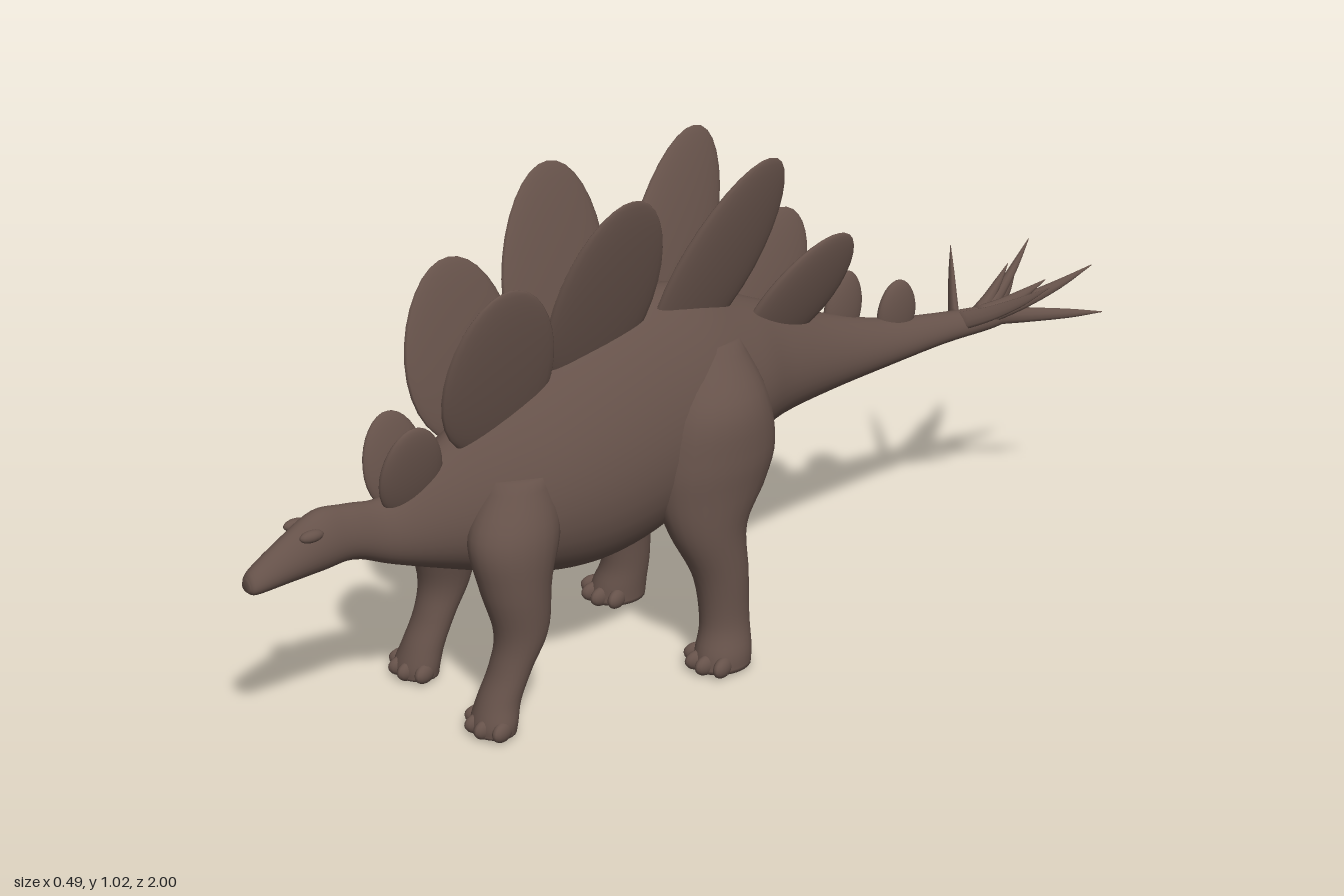
import * as THREE from 'three';

const hide = new THREE.MeshStandardMaterial({ color: 0x66524a });
hide.name = 'brown hide';

// Smooth skin through sections [x, y, z, r1, r2]; ring(a) gives the unit offset of each ring point
function loft(sections, steps, sides, ring) {
  const centres = new THREE.CatmullRomCurve3(sections.map(s => new THREE.Vector3(s[0], s[1], s[2])), false, 'catmullrom', 0.5);
  const radii = new THREE.CatmullRomCurve3(sections.map(s => new THREE.Vector3(s[3], s[4], 0)), false, 'catmullrom', 0.5);
  const pos = [], index = [];
  for (let i = 0; i <= steps; i++) {
    const c = centres.getPoint(i / steps), r = radii.getPoint(i / steps);
    for (let j = 0; j < sides; j++) pos.push(...ring(c, r, (j / sides) * Math.PI * 2));
  }
  for (let i = 0; i < steps; i++) {
    for (let j = 0; j < sides; j++) {
      const k = (j + 1) % sides, a = i * sides, b = a + sides;
      index.push(a + j, a + k, b + j, a + k, b + k, b + j);
    }
  }
  // End caps
  const first = pos.length / 3, last = first + 1, end = steps * sides;
  pos.push(...centres.getPoint(0).toArray(), ...centres.getPoint(1).toArray());
  for (let j = 0; j < sides; j++) {
    const k = (j + 1) % sides;
    index.push(first, k, j, last, end + j, end + k);
  }
  const g = new THREE.BufferGeometry();
  g.setAttribute('position', new THREE.Float32BufferAttribute(pos, 3));
  g.setIndex(index);
  g.computeVertexNormals();
  return g;
}

// Body rings stand upright and are narrower towards the back ridge
const bodyRing = (c, r, a) => [
  c.x + r.x * Math.sin(a) * (1 - 0.2 * Math.cos(a)), c.y + r.y * Math.cos(a), c.z];
// Leg rings lie flat
const legRing = (c, r, a) => [c.x - r.x * Math.sin(a), c.y, c.z + r.y * Math.cos(a)];

// Leaf-shaped lens running from base to tip
function plate([z, shear, halfWidth, yBase, yTip, xBase, xTip], side) {
  const g = new THREE.SphereGeometry(1, 24, 16);
  const p = g.attributes.position;
  for (let i = 0; i < p.count; i++) {
    const x = p.getX(i), y = p.getY(i), t = (y + 1) / 2;
    p.setXYZ(i,
      side * (xBase + (xTip - xBase) * t) + 0.018 * x,
      yBase + (yTip - yBase) * t,
      z + shear * t + halfWidth * p.getZ(i) * (1 - 0.1 * y));
  }
  g.computeVertexNormals();
  return g;
}

export function createModel() {
  const model = new THREE.Group();
  model.name = 'platedDinosaur';
  const add = (geometry, name) => {
    const mesh = new THREE.Mesh(geometry, hide);
    mesh.name = name;
    model.add(mesh);
    return mesh;
  };

  // Head, neck, trunk and tail: [z, top, bottom, half width]
  const profile = [
    [1.0, 0.395, 0.372, 0.014], [0.985, 0.415, 0.365, 0.026], [0.92, 0.458, 0.37, 0.036],
    [0.85, 0.495, 0.375, 0.043], [0.78, 0.49, 0.378, 0.04], [0.7, 0.485, 0.345, 0.048],
    [0.6, 0.545, 0.31, 0.085], [0.5, 0.61, 0.278, 0.125], [0.4, 0.668, 0.25, 0.155],
    [0.28, 0.728, 0.238, 0.172], [0.15, 0.766, 0.265, 0.175], [0.02, 0.758, 0.33, 0.165],
    [-0.1, 0.71, 0.4, 0.135], [-0.2, 0.668, 0.427, 0.098], [-0.34, 0.61, 0.443, 0.068],
    [-0.5, 0.56, 0.457, 0.049], [-0.66, 0.535, 0.468, 0.034], [-0.8, 0.52, 0.47, 0.026],
    [-0.87, 0.508, 0.482, 0.012],
  ];
  add(loft(profile.map(([z, top, bottom, w]) => [0, (top + bottom) / 2, z, w, (top - bottom) / 2]),
    90, 36, bodyRing), 'body');

  // Legs: [x, y, z, half width, half depth]
  const frontLeg = [
    [0.09, 0.5, 0.46, 0.05, 0.06], [0.115, 0.4, 0.49, 0.072, 0.095], [0.13, 0.3, 0.5, 0.064, 0.074],
    [0.14, 0.2, 0.495, 0.05, 0.055], [0.14, 0.13, 0.52, 0.045, 0.042], [0.14, 0.07, 0.548, 0.046, 0.042],
    [0.143, 0.03, 0.562, 0.052, 0.044], [0.143, 0.006, 0.565, 0.05, 0.043],
  ];
  const hindLeg = [
    [0.08, 0.66, 0.0, 0.045, 0.06], [0.12, 0.56, 0.025, 0.086, 0.115], [0.139, 0.46, 0.035, 0.084, 0.135],
    [0.145, 0.38, 0.05, 0.077, 0.122], [0.157, 0.3, 0.065, 0.063, 0.085], [0.168, 0.2, 0.042, 0.05, 0.06],
    [0.173, 0.1, 0.035, 0.045, 0.053], [0.183, 0.04, 0.045, 0.052, 0.06], [0.185, 0.006, 0.05, 0.053, 0.062],
  ];

  // Paired back plates: [z, backward lean, half width, base y, tip y, base x, tip x]
  const backPlates = [
    [0.66, 0, 0.068, 0.44, 0.63, 0.012, 0.05],
    [0.49, -0.01, 0.122, 0.53, 0.88, 0.03, 0.11],
    [0.28, -0.05, 0.12, 0.62, 1.012, 0.035, 0.145],
    [0.065, -0.17, 0.108, 0.62, 1.025, 0.03, 0.125],
    [-0.17, -0.13, 0.105, 0.57, 0.82, 0.02, 0.095],
  ];

  // Tail spikes: [root z, root y, tip x, tip y, tip z]
  const spikes = [
    [-0.7, 0.505, 0.158, 0.605, -0.82],
    [-0.78, 0.5, 0.1, 0.6, -0.995],
    [-0.81, 0.495, 0.14, 0.505, -0.995],
    [-0.76, 0.505, 0.06, 0.575, -0.9],
  ];

  for (const side of [1, -1]) {
    const label = side > 0 ? 'left' : 'right';
    for (const [name, leg, footZ] of [['FrontLeg', frontLeg, 0.592], ['HindLeg', hindLeg, 0.1]]) {
      add(loft(leg.map(([x, ...rest]) => [side * x, ...rest]), 36, 24, legRing), label + name);
      // Four blunt toes across the front of the foot
      const footX = leg[leg.length - 1][0];
      for (let i = 0; i < 4; i++) {
        const u = (i - 1.5) / 1.5;
        const toe = add(new THREE.SphereGeometry(1, 14, 10), label + name + 'Toe' + (i + 1));
        toe.scale.set(0.015, 0.021, 0.03);
        toe.position.set(side * footX + u * 0.042, 0.021, footZ - 0.022 * u * u);
        toe.rotation.y = u * 0.4;
      }
    }
    backPlates.forEach((p, i) => add(plate(p, side), label + 'BackPlate' + (i + 1)));

    // Curved spikes tapering to a point
    spikes.forEach(([rz, ry, tx, ty, tz], i) => {
      const section = (t, r) => [
        side * tx * t, ry + (ty - ry) * (t * t * 0.4 + t * 0.6), rz + (tz - rz) * t, r, r];
      add(loft([section(0, 0.021), section(0.35, 0.016), section(0.7, 0.01), section(1, 0.001)],
        12, 10, bodyRing), label + 'TailSpike' + (i + 1));
    });

    // Brow ridge over the eye
    const brow = add(new THREE.SphereGeometry(1, 14, 10), label + 'Brow');
    brow.scale.set(0.012, 0.012, 0.025);
    brow.position.set(side * 0.031, 0.462, 0.875);
  }

  // Small single plates along the tail
  add(plate([-0.395, -0.02, 0.048, 0.53, 0.68, 0.01, 0.018], -1), 'tailPlate1');
  add(plate([-0.535, -0.005, 0.05, 0.5, 0.637, 0, 0], 1), 'tailPlate2');

  return model;
}
